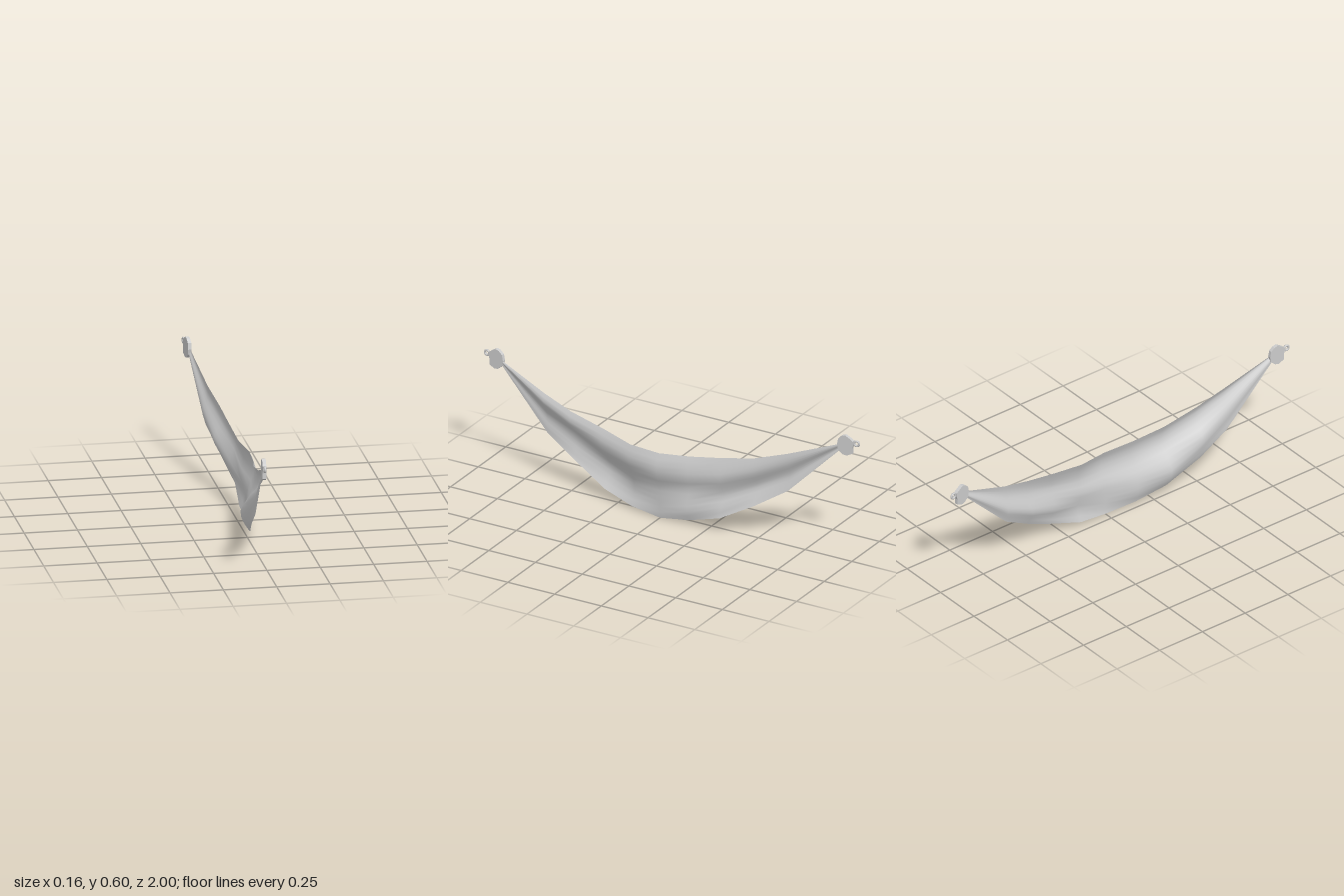
import * as THREE from 'three';

const mat = new THREE.MeshStandardMaterial({ color: 0xcccccc, side: THREE.DoubleSide });

// Stations along the cloth: z, top y, bottom y, then x at seven heights from top to bottom
const stations = [
  [0.91, 0.555, 0.53, -0.043, -0.04, -0.043, -0.048, -0.05, -0.05, -0.05],
  [0.65, 0.455, 0.245, -0.01, 0.004, -0.012, -0.03, -0.036, -0.033, -0.035],
  [0.50, 0.405, 0.145, 0.005, 0.02, -0.002, -0.042, -0.046, -0.036, -0.027],
  [0.32, 0.365, 0.05, 0.016, 0.036, 0.028, -0.012, -0.045, -0.034, 0.0],
  [0.16, 0.336, 0.012, 0.045, 0.06, 0.05, 0.025, 0.008, 0.005, 0.026],
  [0.00, 0.333, 0.0, 0.055, 0.077, 0.073, 0.05, 0.046, 0.046, 0.045],
  [-0.15, 0.342, 0.02, 0.03, 0.05, 0.054, 0.036, 0.052, 0.06, 0.036],
  [-0.32, 0.37, 0.075, 0.018, 0.036, 0.047, 0.03, 0.012, 0.036, 0.048],
  [-0.48, 0.402, 0.16, 0.005, 0.016, 0.012, -0.012, -0.026, -0.008, 0.012],
  [-0.64, 0.452, 0.26, -0.023, -0.02, -0.026, -0.042, -0.048, -0.04, -0.03],
  [-0.91, 0.555, 0.53, -0.06, -0.057, -0.06, -0.065, -0.066, -0.062, -0.063],
];

function buildCloth() {
  const cols = 12, positions = [], index = [];
  stations.forEach(([z, top, bottom, ...xs], r) => {
    const fold = new THREE.CatmullRomCurve3(
      xs.map((x, i) => new THREE.Vector3(x, THREE.MathUtils.lerp(top, bottom, i / (xs.length - 1)), z)));
    for (let c = 0; c <= cols; c++) {
      positions.push(...fold.getPoint(c / cols).toArray());
      if (r && c) {
        const d = r * (cols + 1) + c, b = d - cols - 1;
        index.push(b - 1, b, d - 1, b, d, d - 1);
      }
    }
  });
  const geo = new THREE.BufferGeometry();
  geo.setAttribute('position', new THREE.Float32BufferAttribute(positions, 3));
  geo.setIndex(index);
  geo.computeVertexNormals();
  return geo;
}

// Clasp plate, rounded toward the cloth and flat toward the ring; +X of the shape points outward
function buildPlate() {
  const outline = [
    [0.038, 0.026], [0.028, 0.034], [0.0, 0.051], [-0.018, 0.046], [-0.036, 0.03], [-0.042, 0.0],
    [-0.036, -0.026], [-0.014, -0.046], [0.006, -0.05], [0.034, -0.036], [0.034, -0.008], [0.039, 0.008],
  ].map((p) => new THREE.Vector2(...p));
  const geo = new THREE.ExtrudeGeometry(new THREE.Shape(outline), { depth: 0.017, bevelEnabled: false });
  geo.translate(0, 0, -0.0085);
  return geo;
}

function buildClasp(name) {
  const clasp = new THREE.Group();
  clasp.name = name;
  const plate = new THREE.Mesh(buildPlate(), mat);
  plate.name = 'claspPlate';
  const ring = new THREE.Mesh(new THREE.TorusGeometry(0.012, 0.0055, 8, 16), mat);
  ring.name = 'hangingRing';
  ring.position.set(0.053, 0.016, 0);
  clasp.add(plate, ring);
  return clasp;
}

export function createModel() {
  const model = new THREE.Group();
  model.name = 'hangingCloth';

  const cloth = new THREE.Mesh(buildCloth(), mat);
  cloth.name = 'cloth';

  // Clasps at both ends, turned slightly so the rings drift toward -x
  const front = buildClasp('frontClasp');
  front.position.set(-0.048, 0.55, 0.93);
  front.rotation.y = -Math.PI / 2 - 0.08;
  const back = buildClasp('backClasp');
  back.position.set(-0.066, 0.55, -0.93);
  back.rotation.y = Math.PI / 2 + 0.14;

  model.add(cloth, front, back);
  return model;
}
